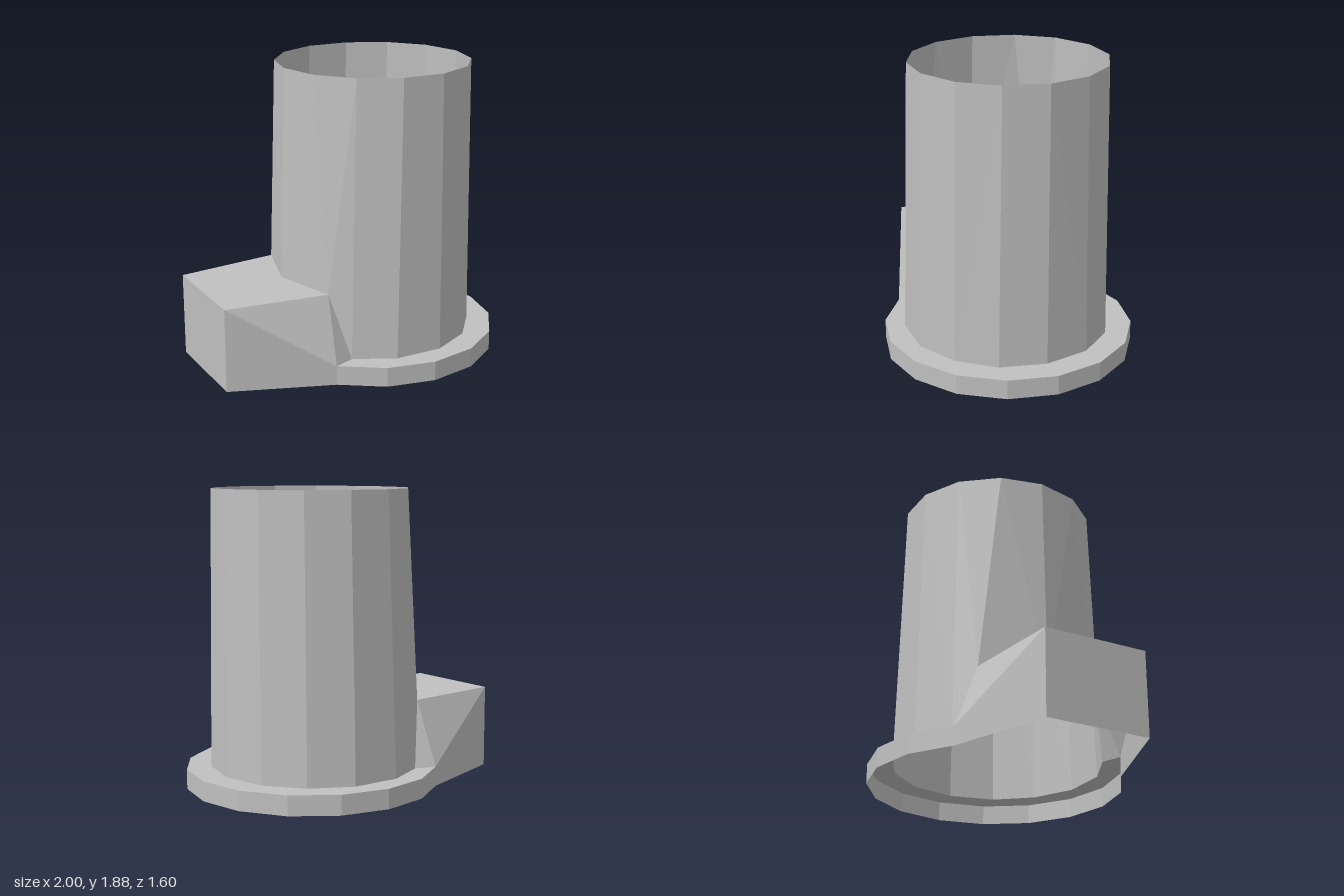
import * as THREE from 'three';

const H = 0.125, BOX = 0.535, TOP = 1.88, CX = 0.2;

// Triangle surface from [x, y, z] corners
function surface(name, tris, material) {
  const g = new THREE.BufferGeometry();
  g.setAttribute('position', new THREE.Float32BufferAttribute(tris.flat(2), 3));
  g.computeVertexNormals();
  const mesh = new THREE.Mesh(g, material);
  mesh.name = name;
  return mesh;
}
const quad = (a, b, c, d) => [[a, b, c], [a, c, d]];
const flip = ([x, y, z]) => [x, y, -z];
// Adds the copy on the other side, with its winding reversed
const mirrored = (tris) => tris.concat(tris.map(([a, b, c]) => [flip(a), flip(c), flip(b)]));
const ringPoint = (r, sides, i, y) => {
  const a = (i / sides) * Math.PI * 2;
  return [CX + r * Math.cos(a), y, r * Math.sin(a)];
};

export function createModel() {
  const group = new THREE.Group();
  const grey = new THREE.MeshStandardMaterial({ color: 0xc0c0c0, flatShading: true, side: THREE.DoubleSide });
  grey.name = 'grey';

  // Foot of the tube: on the flange, then stepping up over the side box
  const foot = [
    [0.835, H, 0], [0.77, H, 0.292], [0.59, H, 0.513], [0.33, H, 0.645],
    [0.02, H, 0.645], [-0.235, H, 0.52], [-0.34, BOX, 0.41], [-0.46, BOX, 0],
  ];

  // Open tapered tube
  const tube = [];
  for (let i = 0; i < 7; i++) {
    const a = ringPoint(0.622, 14, i, TOP), b = ringPoint(0.622, 14, i + 1, TOP);
    tube.push(...quad(a, b, foot[i + 1], foot[i]));
  }
  group.add(surface('tube', mirrored(tube), grey));

  // Flange rim
  const rim = [];
  for (let i = 0; i < 6; i++) {
    rim.push(...quad(ringPoint(0.8, 16, i, H), ringPoint(0.8, 16, i + 1, H),
      ringPoint(0.8, 16, i + 1, 0), ringPoint(0.8, 16, i, 0)));
  }
  group.add(surface('flangeRim', mirrored(rim), grey));

  // Flange top, a ring open towards the side box
  const outline = [];
  for (let i = -6; i <= 6; i++) {
    const [x, , z] = ringPoint(0.8, 16, i, H);
    outline.push(new THREE.Vector2(x, z));
  }
  for (let i = 5; i >= -5; i--) {
    const [x, , z] = foot[Math.abs(i)];
    outline.push(new THREE.Vector2(x, i < 0 ? -z : z));
  }
  const flangeTop = new THREE.Mesh(new THREE.ShapeGeometry(new THREE.Shape(outline)), grey);
  flangeTop.name = 'flangeTop';
  flangeTop.rotation.x = -Math.PI / 2;
  flangeTop.position.y = H;
  group.add(flangeTop);

  // Side box, open below
  const endTop = [-1, BOX, 0.335], endLow = [-1, 0, 0.335];
  const rimTop = ringPoint(0.8, 16, 6, H), rimLow = ringPoint(0.8, 16, 6, 0);
  const corner = foot[6], middle = foot[7];
  group.add(surface('boxSides', mirrored([
    [endTop, rimTop, corner],
    [rimTop, foot[5], corner],
    ...quad(endTop, endLow, rimLow, rimTop),
  ]), grey));
  group.add(surface('boxTop', [
    [endTop, corner, middle],
    [endTop, middle, flip(endTop)],
    [flip(endTop), middle, flip(corner)],
  ], grey));
  group.add(surface('boxEnd', quad(endTop, flip(endTop), flip(endLow), endLow), grey));

  return group;
}
